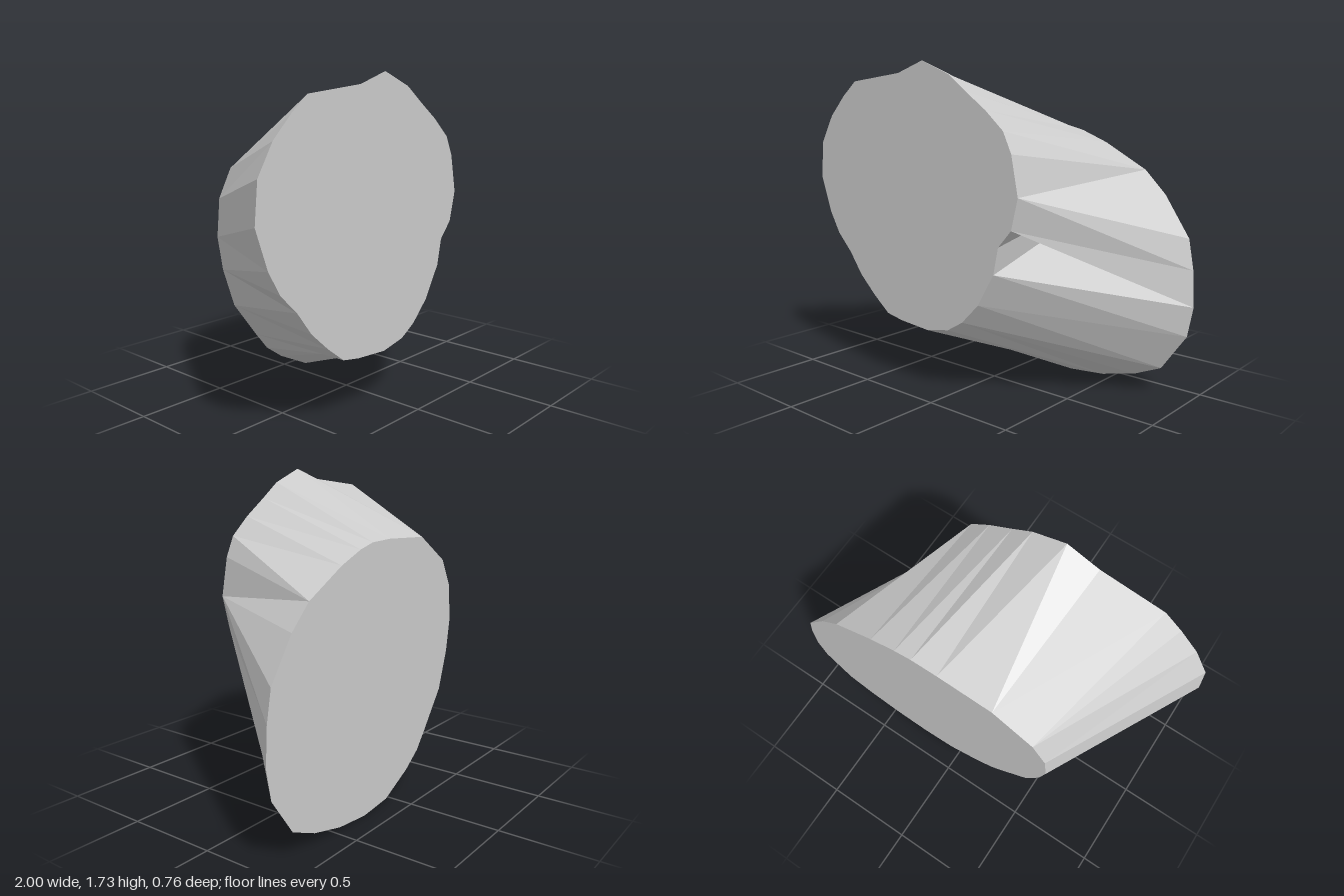
import * as THREE from 'three';

const DEPTH = 0.38; // half depth

// Back outline, counter-clockwise as seen from +z
const back = [
  [1, 0.5], [0.99, 0.69], [0.96, 0.85], [0.82, 1.06], [0.7, 1.18], [0.46, 1.31],
  [0.31, 1.37], [0.21, 1.395], [0.06, 1.4], [-0.25, 1.385], [-0.48, 1.24], [-0.56, 1.09],
  [-0.58, 0.89], [-0.55, 0.71], [-0.48, 0.5], [-0.33, 0.3], [-0.25, 0.2], [-0.14, 0.12],
  [0.06, 0.02], [0.26, 0], [0.47, 0.02], [0.67, 0.07], [0.83, 0.14], [0.97, 0.34],
];

// Front outline: x, y, then the back corners each point fans out to.
// The first three points fold inwards to make the notch.
const front = [
  [0.32, 0.7, 0, 4], [0.35, 0.84, 4], [0.43, 0.93, 4, 0, 1], [0.47, 1.09, 1, 2, 3, 4],
  [0.43, 1.29, 4], [0.38, 1.395, 5], [0.27, 1.49, 6], [0.14, 1.58, 7], [0.03, 1.66, 8],
  [-0.15, 1.73, 9], [-0.33, 1.67, 9], [-0.68, 1.63, 10], [-0.78, 1.55, 10],
  [-0.89, 1.44, 11], [-0.98, 1.29, 11], [-1, 1.09, 12], [-0.93, 0.89, 13],
  [-0.86, 0.77, 13], [-0.76, 0.67, 14], [-0.67, 0.55, 14], [-0.56, 0.45, 15],
  [-0.45, 0.365, 15], [-0.34, 0.345, 16], [-0.14, 0.33, 17, 18], [0.01, 0.36, 19, 20],
  [0.11, 0.42, 21, 22], [0.22, 0.53, 23],
];

// Skin of triangles between the two outlines
function makeSkin() {
  const pos = [];
  const F = (i) => [front[i % front.length][0], front[i % front.length][1], DEPTH];
  const B = (i) => [back[i][0], back[i][1], -DEPTH];
  let b = 0;
  front.forEach((row, i) => {
    for (const next of row.slice(2)) {
      if (next !== b) pos.push(...F(i), ...B(b), ...B(next));
      b = next;
    }
    pos.push(...F(i), ...B(b), ...F(i + 1));
  });
  // close the loop at the starting corner
  pos.push(...F(0), ...B(b), ...B(0));
  const geo = new THREE.BufferGeometry();
  geo.setAttribute('position', new THREE.Float32BufferAttribute(pos, 3));
  geo.computeVertexNormals();
  return geo;
}

// Flat end face from an outline
function makeCap(outline) {
  return new THREE.ShapeGeometry(new THREE.Shape(outline.map(([x, y]) => new THREE.Vector2(x, y))));
}

export function createModel() {
  const group = new THREE.Group();
  const material = new THREE.MeshStandardMaterial({
    color: 0xcccccc, flatShading: true, side: THREE.DoubleSide,
  });
  const add = (name, geometry, z = 0) => {
    const mesh = new THREE.Mesh(geometry, material);
    mesh.name = name;
    mesh.position.z = z;
    group.add(mesh);
  };
  add('sideSkin', makeSkin());
  add('frontFace', makeCap(front), DEPTH);

  // Back face, turned to look towards -z
  const backCap = makeCap(back.map(([x, y]) => [-x, y]));
  backCap.rotateY(Math.PI);
  add('backFace', backCap, -DEPTH);
  return group;
}
